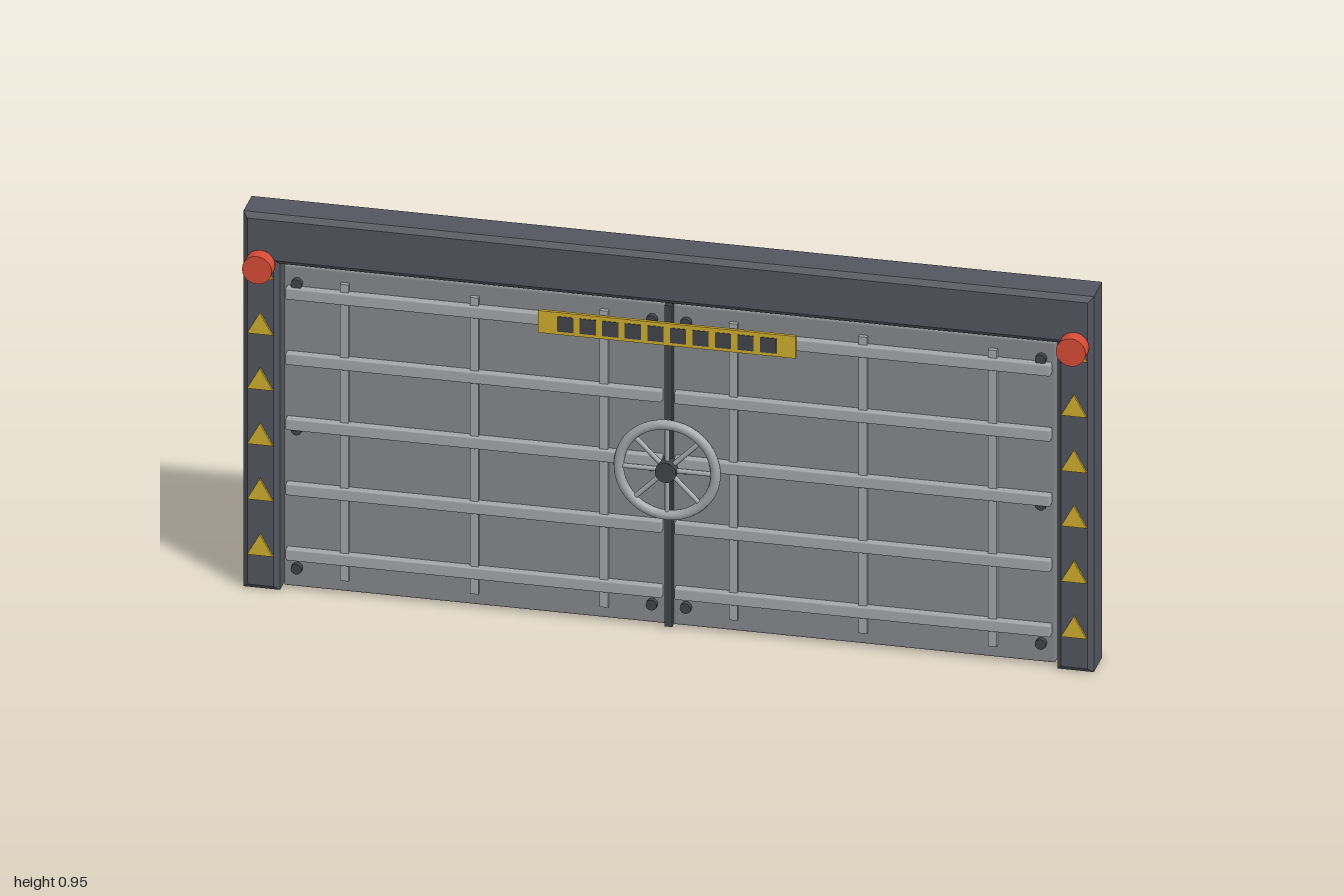
import * as THREE from 'three';
import { RoundedBoxGeometry } from 'three/addons/geometries/RoundedBoxGeometry.js';

const mat = (name, color) => {
  const m = new THREE.MeshStandardMaterial({ color });
  m.name = name;
  return m;
};

export function createModel() {
  const model = new THREE.Group();
  model.name = 'blastDoor';
  const frameGrey = mat('frameGrey', 0x53565f);
  const doorGrey = mat('doorGrey', 0x85888c);
  const railGrey = mat('railGrey', 0xa4a6a9);
  const darkSteel = mat('darkSteel', 0x414449);
  const yellow = mat('warningYellow', 0xd0ae2e);
  const red = mat('beaconRed', 0xd84c36);

  const add = (name, geo, material, x, y, z, parent = model) => {
    const m = new THREE.Mesh(geo, material);
    m.name = name;
    m.position.set(x, y, z);
    parent.add(m);
    return m;
  };
  const box = (name, w, h, d, material, x, y, z, parent) =>
    add(name, new THREE.BoxGeometry(w, h, d), material, x, y, z, parent);
  const disc = (r, d, n) => new THREE.CylinderGeometry(r, r, d, n).rotateX(Math.PI / 2);

  // Portal frame: one chamfered arch
  const b = 0.012, out = 1 - b, inn = 0.914 + b, top = 0.95 - b, under = 0.825 + b;
  const arch = new THREE.Shape([
    [-out, b], [-inn, b], [-inn, under], [inn, under],
    [inn, b], [out, b], [out, top], [-out, top],
  ].map(([x, y]) => new THREE.Vector2(x, y)));
  add('frame', new THREE.ExtrudeGeometry(arch, {
    depth: 0.105 - 2 * b, bevelEnabled: true, bevelSize: b, bevelThickness: b, bevelSegments: 1,
  }), frameGrey, 0, 0, -0.07 + b);

  // Warning triangle plate
  const tri = new THREE.Shape([
    new THREE.Vector2(-0.03, -0.026), new THREE.Vector2(0.03, -0.026), new THREE.Vector2(0, 0.028),
  ]);
  const triGeo = new THREE.ExtrudeGeometry(tri, { depth: 0.006, bevelEnabled: false });

  for (const s of [-1, 1]) {
    const side = s > 0 ? 'left' : 'right';
    const leaf = new THREE.Group();
    leaf.name = side + 'Door';
    model.add(leaf);

    // Door leaf with its ribs, rails and bolts
    add('doorPanel', new RoundedBoxGeometry(0.9, 0.812, 0.065, 1, 0.006), doorGrey, s * 0.458, 0.414, -0.0175, leaf);
    for (const x of [0.152, 0.457, 0.762])
      box('verticalRib', 0.02, 0.75, 0.012, railGrey, s * x, 0.415, 0.02, leaf);
    for (let i = 0; i < 5; i++)
      add('horizontalRail', new RoundedBoxGeometry(0.885, 0.03, 0.021, 1, 0.004), railGrey,
        s * 0.457, 0.095 + i * 0.165, 0.0235, leaf);
    for (const x of [0.04, 0.875])
      for (const y of [0.058, 0.41, 0.778])
        add('bolt', disc(0.013, 0.014, 12), darkSteel, s * x, y, 0.021, leaf);

    // Post markings and beacon
    for (let i = 0; i < 6; i++)
      add('warningTriangle', triGeo, yellow, s * 0.957, 0.117 + i * 0.14, 0.037);
    add(side + 'Beacon', disc(0.035, 0.035, 20), red, s * 0.957, 0.826, 0.0545);
  }

  // Seal between the leaves
  box('centreSeal', 0.018, 0.812, 0.075, darkSteel, 0, 0.414, -0.0105);

  // Warning sign with dark squares
  box('signPlate', 0.606, 0.056, 0.008, yellow, 0, 0.754, 0.038);
  for (let i = 0; i < 10; i++)
    box('signSquare', 0.038, 0.038, 0.002, darkSteel, (i - 4.5) * 0.053, 0.753, 0.0425);

  // Locking handwheel
  const wheel = new THREE.Group();
  wheel.name = 'handwheel';
  wheel.position.set(0, 0.41, 0.038);
  model.add(wheel);
  add('wheelRim', new THREE.TorusGeometry(0.114, 0.012, 10, 40), railGrey, 0, 0, 0, wheel);
  for (let i = 0; i < 8; i++) {
    const a = i * Math.PI / 4;
    const spoke = add('spoke', new THREE.CylinderGeometry(0.006, 0.006, 0.1, 8), railGrey,
      -Math.sin(a) * 0.06, Math.cos(a) * 0.06, 0, wheel);
    spoke.rotation.z = a;
  }
  add('wheelHub', disc(0.025, 0.042, 20), darkSteel, 0, 0, -0.003, wheel);

  return model;
}
